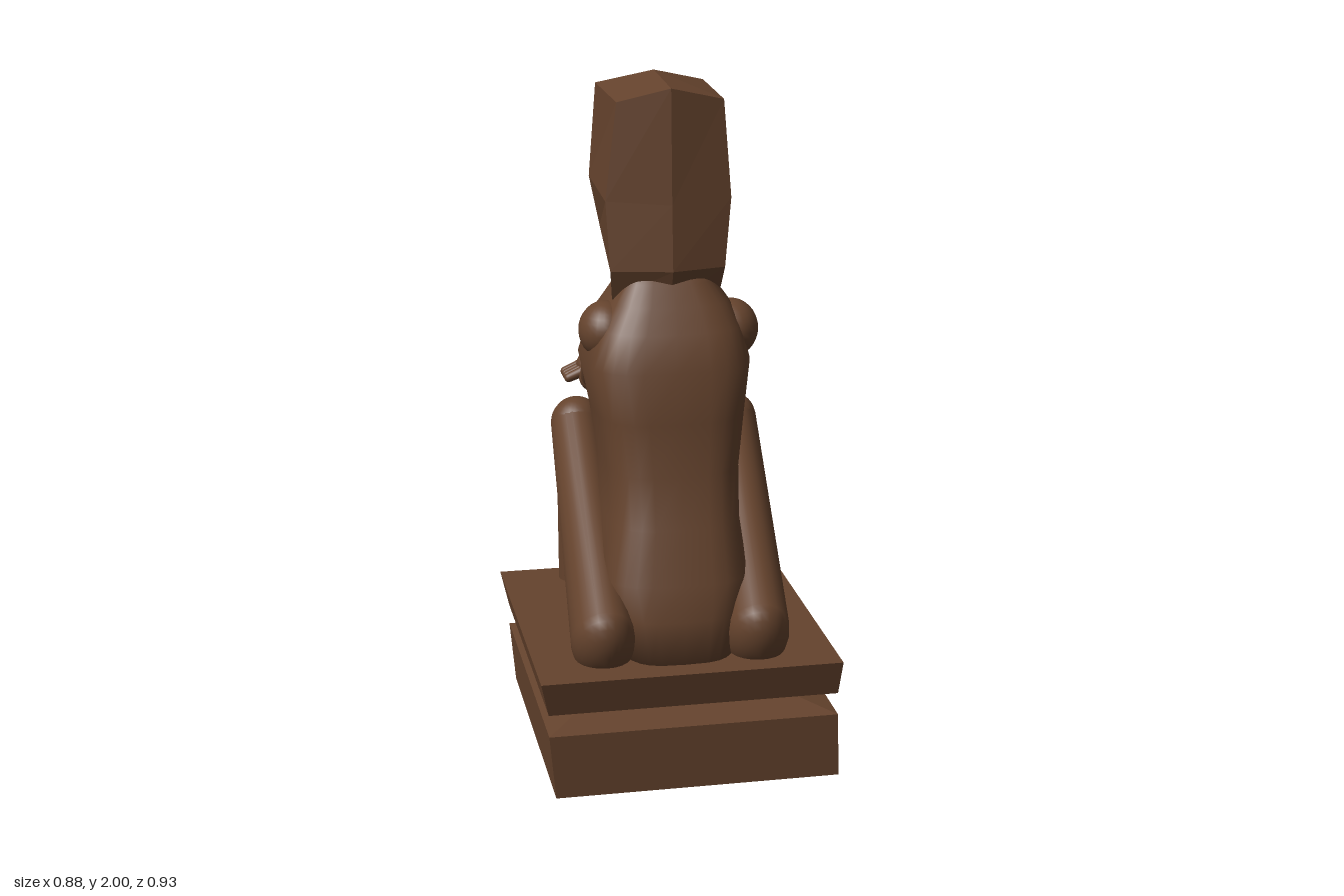
import * as THREE from 'three';
import { ConvexGeometry } from 'three/addons/geometries/ConvexGeometry.js';

const brown = new THREE.MeshStandardMaterial({ color: 0x65432d });
brown.name = 'carvedWood';
const V = (x, y, z) => new THREE.Vector3(x, y, z);

// Skin over rings of points, listed bottom to top, closed at both ends
function loft(rings, flat, topCentre) {
  const n = rings[0].length, pos = [], idx = [];
  rings.flat().forEach(p => pos.push(...p));
  for (let r = 0; r < rings.length - 1; r++) {
    for (let i = 0; i < n; i++) {
      const a = r * n + i, b = r * n + (i + 1) % n;
      idx.push(a, a + n, b, b, a + n, b + n);
    }
  }
  const mean = ring => [0, 1, 2].map(k => ring.reduce((s, p) => s + p[k], 0) / n);
  const last = (rings.length - 1) * n, bottom = rings.length * n;
  pos.push(...mean(rings[0]), ...(topCentre || mean(rings[rings.length - 1])));
  for (let i = 0; i < n; i++) {
    const j = (i + 1) % n;
    idx.push(bottom, i, j, bottom + 1, last + j, last + i);
  }
  let g = new THREE.BufferGeometry();
  g.setAttribute('position', new THREE.Float32BufferAttribute(pos, 3));
  g.setIndex(idx);
  if (flat) g = g.toNonIndexed();
  g.computeVertexNormals();
  return g;
}

// Tapered round-ended limb from a to b; deepen thickens its start vertically
function limb(name, a, b, ra, rb, deepen = 1) {
  const len = a.distanceTo(b), pts = [];
  for (let i = 0; i <= 6; i++) {
    const t = -Math.PI / 2 + i * Math.PI / 12;
    pts.push(new THREE.Vector2(Math.cos(t) * ra, Math.sin(t) * ra));
  }
  for (let i = 0; i <= 6; i++) {
    const t = i * Math.PI / 12;
    pts.push(new THREE.Vector2(Math.max(0, Math.cos(t) * rb), len + Math.sin(t) * rb));
  }
  const g = new THREE.LatheGeometry(pts, 24).rotateX(Math.PI / 2);
  if (deepen !== 1) {
    const p = g.attributes.position;
    for (let i = 0; i < p.count; i++) {
      const t = THREE.MathUtils.clamp(p.getZ(i) / len, 0, 1);
      p.setY(i, p.getY(i) * THREE.MathUtils.lerp(deepen, 1, t));
    }
    g.computeVertexNormals();
  }
  const m = new THREE.Mesh(g, brown);
  m.name = name;
  m.position.copy(a);
  m.lookAt(b);
  return m;
}

function ball(name, c, rx, ry = rx, rz = rx) {
  const m = new THREE.Mesh(new THREE.SphereGeometry(1, 24, 16), brown);
  m.name = name;
  m.position.copy(c);
  m.scale.set(rx, ry, rz);
  return m;
}

export function createModel() {
  const model = new THREE.Group();
  const add = (name, geo) => {
    const m = new THREE.Mesh(geo, brown);
    m.name = name;
    model.add(m);
  };

  // Plinth: two slabs with a pinched groove between (y, x0, x1, z0, z1)
  add('plinth', loft([
    [0, -0.40, 0.44, -0.465, 0.42], [0.2, -0.42, 0.43, -0.45, 0.435],
    [0.23, -0.30, 0.30, -0.31, 0.30], [0.265, -0.42, 0.43, -0.445, 0.43],
    [0.375, -0.445, 0.435, -0.457, 0.465],
  ].map(([y, x0, x1, z0, z1]) => [[x1, y, z0], [x1, y, z1], [x0, y, z1], [x0, y, z0]]), true));

  // Torso: rounded sections (y, x0, x1, z front, z back)
  const sections = [
    [0.36, -0.18, 0.15, -0.065, 0.395], [0.5, -0.21, 0.18, -0.09, 0.385],
    [0.6, -0.235, 0.205, -0.11, 0.36], [0.75, -0.20, 0.19, -0.145, 0.305],
    [0.9, -0.20, 0.195, -0.175, 0.265], [1.05, -0.22, 0.215, -0.2, 0.247],
    [1.2, -0.25, 0.235, -0.208, 0.235], [1.3, -0.215, 0.215, -0.208, 0.185],
    [1.37, -0.17, 0.18, -0.165, 0.145], [1.43, -0.135, 0.135, -0.12, 0.11],
    [1.5, -0.11, 0.11, -0.08, 0.06],
  ];
  const pw = v => Math.sign(v) * Math.pow(Math.abs(v), 0.6);
  add('torso', loft(sections.map(([y, x0, x1, z0, z1]) => {
    const ring = [];
    for (let i = 0; i < 28; i++) {
      const t = i / 28 * Math.PI * 2;
      ring.push([(x0 + x1) / 2 + (x1 - x0) / 2 * pw(Math.cos(t)), y,
        (z0 + z1) / 2 + (z1 - z0) / 2 * pw(Math.sin(t))]);
    }
    return ring;
  }), false));

  // Head: faceted six-cornered block, ridged on top, jaw overhanging the neck
  add('head', loft([
    [[0.13, 1.44, -0.07], [0.15, 1.38, 0.05], [0, 1.37, 0.09],
      [-0.165, 1.38, 0.05], [-0.13, 1.44, -0.07], [0, 1.45, -0.08]],
    [[0.15, 1.52, -0.31], [0.16, 1.47, 0.085], [0, 1.47, 0.125],
      [-0.175, 1.47, 0.085], [-0.14, 1.52, -0.31], [0.015, 1.505, -0.345]],
    [[0.2, 1.67, -0.315], [0.18, 1.67, 0.07], [0, 1.66, 0.11],
      [-0.185, 1.67, 0.065], [-0.17, 1.67, -0.32], [0.02, 1.66, -0.365]],
    [[0.175, 1.95, -0.31], [0.16, 1.95, 0.055], [0, 1.99, 0.092],
      [-0.15, 1.95, 0.055], [-0.15, 1.95, -0.31], [0.01, 1.96, -0.335]],
  ], true, [0.005, 2.0, -0.2]));

  // Face: long broad nose running up to the forehead, eyes, lips
  add('nose', new ConvexGeometry([
    V(-0.04, 1.67, -0.345), V(0.08, 1.67, -0.345), V(0.012, 1.94, -0.335),
    V(0.025, 1.67, -0.42), V(0.1, 1.82, -0.325), V(-0.07, 1.82, -0.325), V(0.018, 1.82, -0.372),
  ]));
  for (const s of [-1, 1]) {
    model.add(ball('eye', V(0.017 + s * 0.09, 1.765, -0.33), 0.026, 0.014, 0.012));
  }
  model.add(ball('upperLip', V(0.02, 1.607, -0.35), 0.055, 0.012, 0.018));
  model.add(ball('lowerLip', V(0.02, 1.58, -0.345), 0.045, 0.012, 0.018));

  // Legs: drawn-up thighs deepest at the hip, round knees, upright shins
  const legs = [
    ['left', V(0.21, 0.435, 0.325), V(0.272, 0.885, -0.33), V(0.26, 0.36, -0.34)],
    ['right', V(-0.24, 0.435, 0.305), V(-0.21, 0.89, -0.35), V(-0.21, 0.36, -0.375)],
  ];
  for (const [side, hip, knee, foot] of legs) {
    model.add(limb(side + 'Thigh', hip, knee, 0.095, 0.08, 1.45));
    model.add(ball(side + 'Knee', knee, 0.08, 0.083, 0.085));
    model.add(limb(side + 'Shin', knee, foot, 0.064, 0.058));
  }

  // Arms: folded over the knees, each hand reaching the opposite side
  const arms = [
    ['left', V(0.19, 1.275, 0.03), V(0.275, 1.09, -0.37), V(-0.1, 1.085, -0.405), V(-0.23, 1.03, -0.41)],
    ['right', V(-0.18, 1.285, 0.03), V(-0.15, 1.035, -0.36), V(0.17, 1.0, -0.385), V(0.285, 0.97, -0.385)],
  ];
  for (const [side, shoulder, elbow, wrist, tip] of arms) {
    model.add(ball(side + 'Shoulder', shoulder, 0.08, 0.086, 0.092));
    model.add(limb(side + 'UpperArm', shoulder, elbow, 0.062, 0.046));
    model.add(ball(side + 'Elbow', elbow, 0.05));
    model.add(limb(side + 'Forearm', elbow, wrist, 0.047, 0.038));
    const hand = new THREE.Group();
    hand.name = side + 'Hand';
    const palm = wrist.clone().lerp(tip, 0.45);
    hand.add(limb('palm', wrist, palm, 0.038, 0.042));
    for (let i = 0; i < 4; i++) {
      const off = V(0, 0, (i - 1.5) * 0.025);
      hand.add(limb('finger', palm.clone().add(off), tip.clone().add(off), 0.018, 0.014));
    }
    model.add(hand);
  }
  return model;
}
